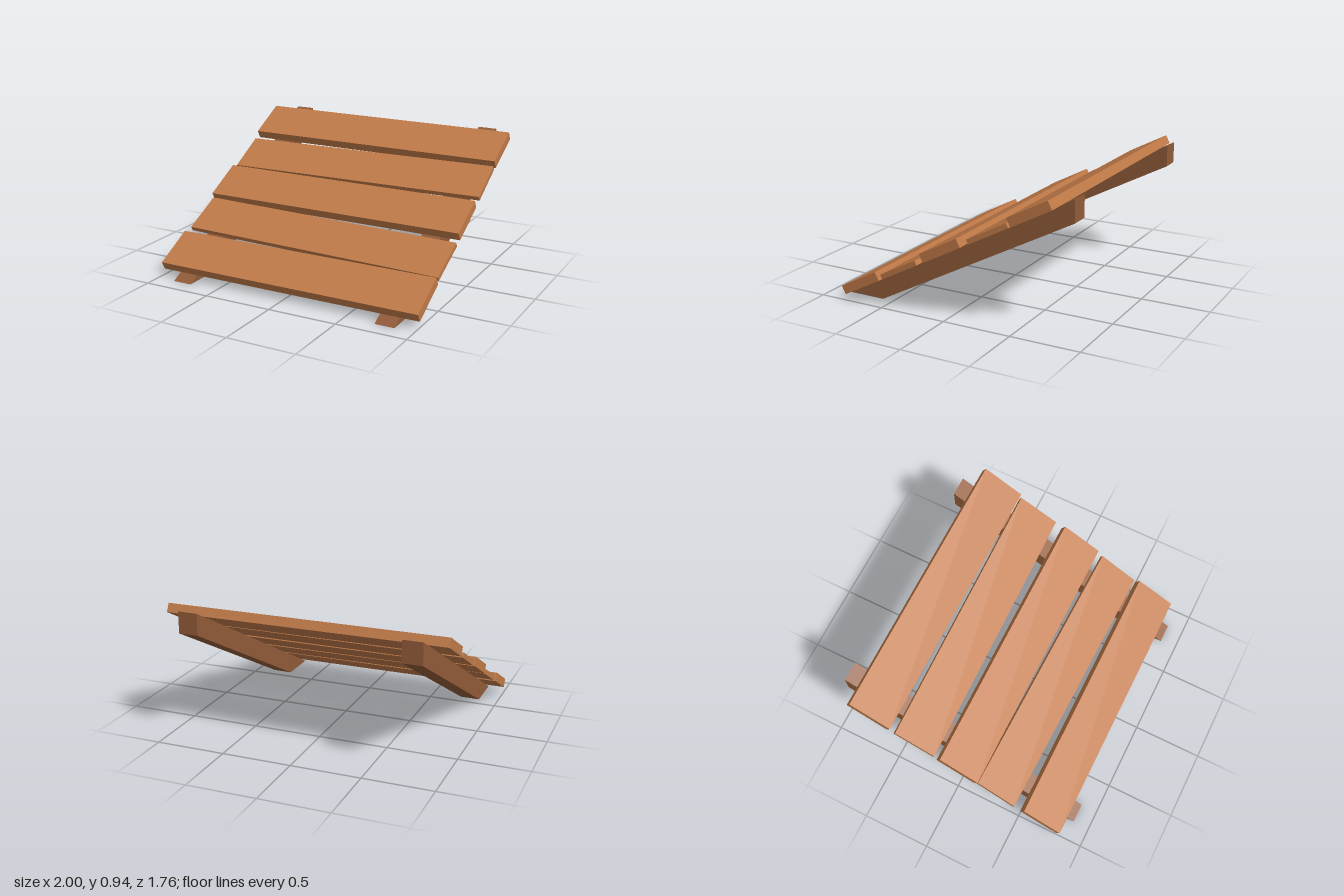
import * as THREE from 'three';

export function createModel() {
  const model = new THREE.Group();
  model.name = 'slopedPlankPlatform';
  const plankWood = new THREE.MeshStandardMaterial({ color: 0xc07a48, flatShading: true });
  const beamWood = new THREE.MeshStandardMaterial({ color: 0x925c39, flatShading: true });

  // Two sloping beams, cut level at the foot and upright at the back
  const front = 0.88, rise = 0.93, beamWidth = 0.14;
  const profile = new THREE.Shape([
    [front, 0], [-front, rise], [-front, 0.775], [0.585, 0],
  ].map(([z, y]) => new THREE.Vector2(z, y)));
  const beamGeo = new THREE.ExtrudeGeometry(profile, { depth: beamWidth, bevelEnabled: false });
  beamGeo.translate(0, 0, -beamWidth / 2);
  beamGeo.rotateY(-Math.PI / 2);
  for (const side of [1, -1]) {
    const beam = new THREE.Mesh(beamGeo, beamWood);
    beam.name = side > 0 ? 'leftBeam' : 'rightBeam';
    beam.position.x = side * 0.79;
    model.add(beam);
  }

  // Planks lie on the slope: distance up the slope, thickness, length, skew
  const planks = new THREE.Group();
  planks.name = 'planks';
  planks.position.z = front;
  planks.rotation.x = Math.atan2(rise, 2 * front);
  [
    [0.253, 0.065, 2, 0],
    [0.628, 0.035, 1.993, -0.0226],
    [0.989, 0.065, 2, 0],
    [1.368, 0.035, 1.994, 0.017],
    [1.731, 0.065, 2, 0],
  ].forEach(([along, thick, length, skew], i) => {
    const plank = new THREE.Mesh(new THREE.BoxGeometry(length, thick, 0.325), plankWood);
    plank.name = `plank${i + 1}`;
    plank.position.set(0, thick / 2, -along);
    plank.rotation.y = skew;
    planks.add(plank);
  });
  model.add(planks);
  return model;
}
